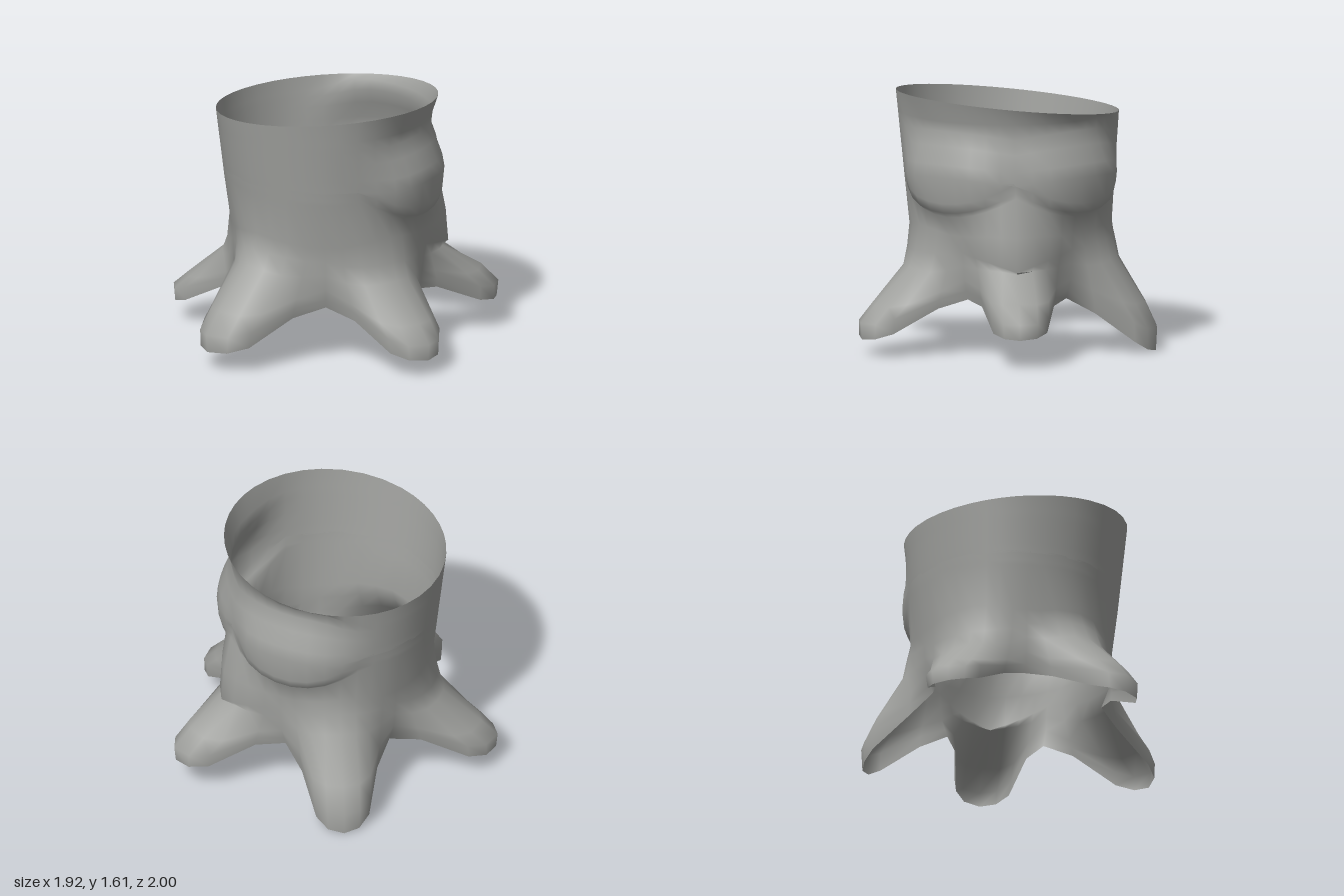
import * as THREE from 'three';

const RAD = Math.PI / 180;
const lerp = THREE.MathUtils.lerp;
const smooth = THREE.MathUtils.smoothstep;

// Roots: crest angle, reach factor, extra drop at the tip, hollow along the crest
const ROOTS = [
  { angle: -108, reach: 1.03, drop: 0.01, sink: 0.1 },
  { angle: -33, reach: 0.8, drop: 0.13, sink: 0 },
  { angle: 38.5, reach: 1.08, drop: -0.05, sink: 0 },
  { angle: 105, reach: 1.02, drop: 0.03, sink: 0.07 },
  { angle: 187.5, reach: 1.08, drop: 0.01, sink: 0 },
];
// Angles of the valleys before and after each root
const VALLEYS = [-139, -68, 3, 70, 144, 221];
const CHEST = 38.5;

// Root half section, crest to valley; each row: radius, share of half sector, height
const FLARE = [
  [[0.63, 0, 0.8], [0.66, 0, 0.71], [0.7, 0, 0.61], [0.93, 0, 0.37], [1.03, 0, 0.24], [1.02, 0, 0.13]],
  [[0.63, 0.25, 0.79], [0.655, 0.24, 0.7], [0.69, 0.23, 0.6], [0.9, 0.2, 0.36], [0.99, 0.18, 0.24], [0.99, 0.17, 0.14]],
  [[0.63, 0.5, 0.78], [0.645, 0.48, 0.69], [0.67, 0.45, 0.58], [0.83, 0.37, 0.37], [0.91, 0.33, 0.27], [0.91, 0.31, 0.17]],
  [[0.62, 0.75, 0.76], [0.62, 0.73, 0.67], [0.63, 0.7, 0.57], [0.65, 0.64, 0.43], [0.66, 0.61, 0.37], [0.66, 0.59, 0.31]],
  [[0.62, 1, 0.76], [0.615, 1, 0.67], [0.61, 1, 0.58], [0.6, 1, 0.48], [0.575, 1, 0.41], [0.555, 1, 0.355]],
];
const SINK = [0, 1, 1, 0.6, 0.2, 0];

// Trunk rows below the rim: height, and chest swell outwards
const UPPER = [[1.47, -0.03], [1.41, -0.035], [1.32, 0], [1.21, 0.05], [1.13, 0.07]];

// Pointed belly below the chest: swell and height of the first three flare rows
const BELLY = [[0.1, 0.77], [0.085, 0.56], [0, 0.53]];

// One column of points, from the rim down to the root edge
function column(root, before, after, t) {
  const half = t < 0 ? root.angle - before : after - root.angle;
  const baseAngle = root.angle + t * half;
  const phi = THREE.MathUtils.euclideanModulo(baseAngle - CHEST + 180, 360) - 180;
  const side = Math.abs(phi);
  const points = [];

  const put = (angle, r, y, cx, cz) => {
    const a = angle * RAD;
    points.push([cx + r * Math.cos(a), y, cz + r * Math.sin(a)]);
  };
  const wall = (y, swell) => {
    const k = (1.55 - y) / 0.77;
    put(baseAngle, lerp(0.693, 0.628, k) + swell, y, lerp(0.05, 0.08, k), lerp(-0.01, 0, k));
  };

  // Tilted rim
  const a = baseAngle * RAD;
  const rimY = 1.533 + 0.073 * Math.sin(a) - 0.018 * Math.cos(a);
  wall(rimY, 0);

  // Two rounded chest halves with a notch between them
  const chest = 1 - smooth(side, 55, 88);
  const notch = 1 - 0.6 * (1 - smooth(side, 0, 22));
  const s = (side - 40) / 40;
  for (const [y, swell] of UPPER) {
    const level = rimY - (1.6 - y) * (rimY - 1.12) / 0.48;
    const arch = y < 1.45 ? 0.04 * s * s : 0;
    wall(lerp(level, y - arch, chest), swell * chest * (swell > 0 ? notch : 1));
  }

  // Lower chest outline and the undercut beneath it
  const fold = side < 88 ? 0.885 + 0.14 * s * s : 1.06;
  const b = Math.max(0, 1 - side / 36);
  wall(fold + 0.08, 0.065 * chest * notch);
  wall(fold + 0.02, 0.045 * chest * notch + 0.01 * b);
  wall(fold - 0.01, 0.008 * chest + 0.035 * b);

  // Belly and root flare
  FLARE[Math.round(Math.abs(t) * 4)].forEach(([r, share, y], k) => {
    const fade = 1 - t * t;
    const reach = r > 0.6 ? lerp(1, root.reach, fade * Math.min(1, k / 3)) : 1;
    const [swell, level] = BELLY[k] ?? [0, y];
    const drop = root.drop * Math.max(0, k - 1) / 4 + root.sink * SINK[k];
    put(
      root.angle + Math.sign(t) * share * half,
      0.6 + (r - 0.6) * reach + swell * b,
      lerp(y, level, b) - drop * fade,
      0.08,
      0,
    );
  });
  return points;
}

export function createModel() {
  const bark = new THREE.MeshStandardMaterial({ color: 0xa0a19e, side: THREE.DoubleSide });
  bark.name = 'grey';

  // All columns around the stump
  const columns = [];
  ROOTS.forEach((root, i) => {
    for (let j = -4; j < 4; j++) columns.push(column(root, VALLEYS[i], VALLEYS[i + 1], j / 4));
  });
  const n = columns.length;
  const rows = columns[0].length;
  const flareRow = rows - 4;

  // Quads between two rows
  const band = (from, to) => {
    const index = [];
    for (let j = 0; j < n; j++) {
      for (let k = from; k < to; k++) {
        const p = j * rows + k;
        const q = ((j + 1) % n) * rows + k;
        index.push(p, q, p + 1, q, q + 1, p + 1);
      }
    }
    return index;
  };

  // Smooth normals across the whole shell, then shared by its two parts
  const shell = new THREE.BufferGeometry();
  shell.setAttribute('position', new THREE.Float32BufferAttribute(columns.flat(2), 3));
  shell.setIndex(band(0, rows - 1));
  shell.computeVertexNormals();

  const group = new THREE.Group();
  group.name = 'treeStump';
  const addPart = (name, from, to) => {
    const geometry = new THREE.BufferGeometry();
    geometry.setAttribute('position', shell.getAttribute('position'));
    geometry.setAttribute('normal', shell.getAttribute('normal'));
    geometry.setIndex(band(from, to));
    const mesh = new THREE.Mesh(geometry, bark);
    mesh.name = name;
    group.add(mesh);
  };
  addPart('trunk', 0, flareRow);
  addPart('roots', flareRow, rows - 1);
  return group;
}
